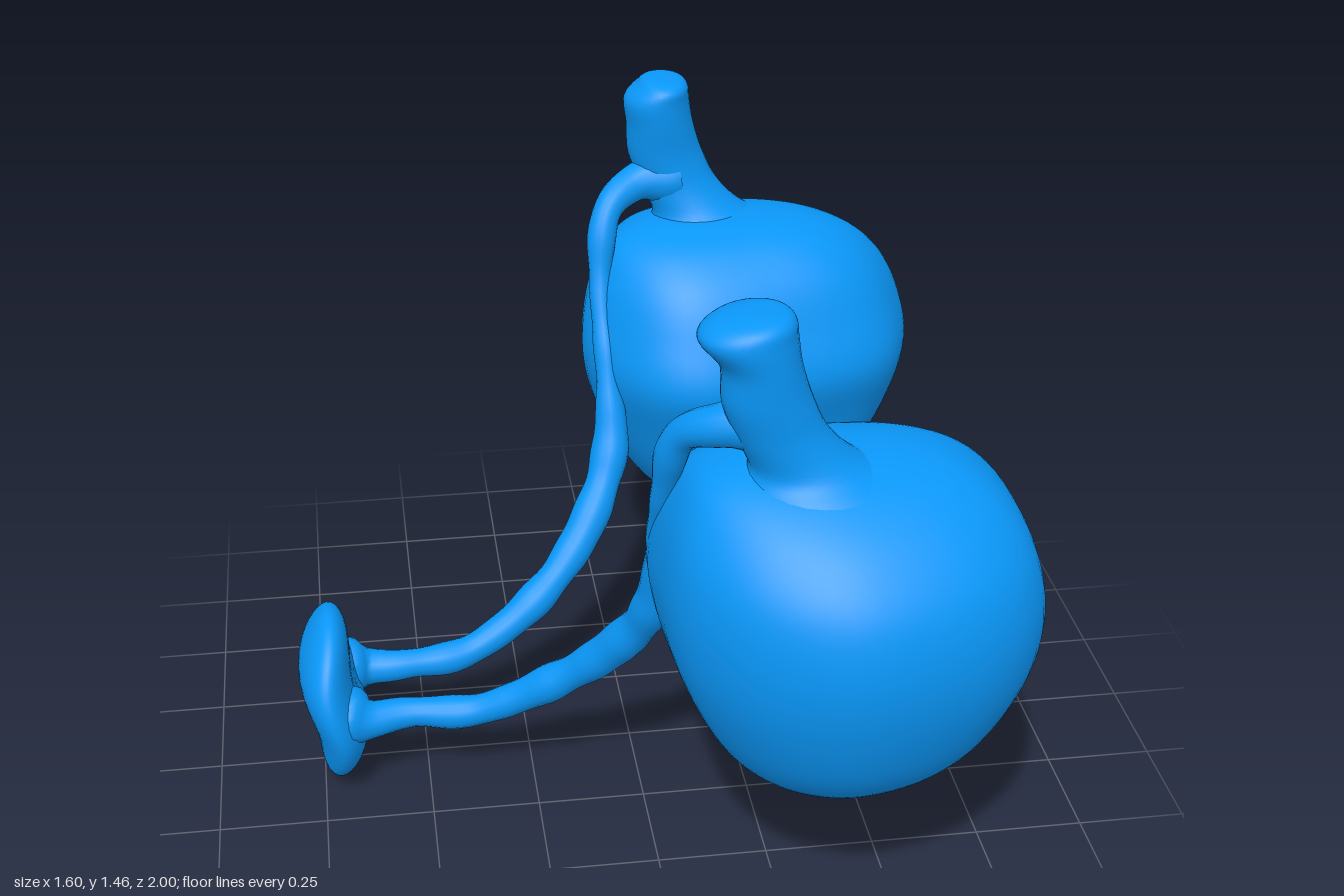
import * as THREE from 'three';

const material = new THREE.MeshStandardMaterial({ color: 0x0a97f8 });

function mesh(name, geometry) {
  const m = new THREE.Mesh(geometry, material);
  m.name = name;
  return m;
}

// Smooth skin over a grid of closed loops; flip reverses the winding
function skin(rows, cols, pointAt, flip) {
  const pos = [], idx = [];
  for (let i = 0; i <= rows; i++) {
    for (let j = 0; j < cols; j++) pos.push(...pointAt(i / rows, j / cols));
  }
  for (let i = 0; i < rows; i++) {
    for (let j = 0; j < cols; j++) {
      const k = (j + 1) % cols;
      const a = i * cols + j, b = i * cols + k, c = a + cols, d = b + cols;
      if (flip) idx.push(a, b, c, b, d, c);
      else idx.push(a, c, b, b, c, d);
    }
  }
  const g = new THREE.BufferGeometry();
  g.setAttribute('position', new THREE.Float32BufferAttribute(pos, 3));
  g.setIndex(idx);
  g.computeVertexNormals();
  return g;
}

const curve = (pts, closed = false) => new THREE.CatmullRomCurve3(
  pts.map((p) => new THREE.Vector3(...p)), closed, 'catmullrom', 0.5);

const circle = (a) => [Math.cos(a * Math.PI * 2), Math.sin(a * Math.PI * 2)];

// Stack of horizontal rings: stations are [y, xMin, xMax, zMin, zMax];
// the outline softens to an ellipse towards both ends
function stack(stations, outline, side, rows, cols) {
  const xs = curve(stations.map((s) => [s[0], s[1], s[2]]));
  const zs = curve(stations.map((s) => [s[3], s[4], 0]));
  return skin(rows, cols, (t, a) => {
    const p = xs.getPoint(t), q = zs.getPoint(t);
    const o = outline(a), c = circle(a), w = (2 * t - 1) ** 2;
    return [
      (p.y + p.z) / 2 + (p.z - p.y) / 2 * (o[0] + (c[0] - o[0]) * w),
      p.x,
      side * ((q.x + q.y) / 2 + (q.y - q.x) / 2 * (o[1] + (c[1] - o[1]) * w)),
    ];
  }, side < 0);
}

// Tube with a varying radius: points are [x, y, z, radius];
// drift pulls the free part of the cord towards the middle
function cord(points, side, drift) {
  const path = curve(points.map(([x, y, z]) => [
    x, y, side * (z - drift * THREE.MathUtils.clamp(-x / 0.15, 0, 1))]));
  const radii = curve(points.map((p) => [p[3], 0, 0]));
  const rows = 100;
  const frames = path.computeFrenetFrames(rows);
  return skin(rows, 16, (t, a) => {
    const i = Math.round(t * rows);
    const u = path.getUtoTmapping(t);
    const r = radii.getPoint(u).x * (1 + 0.05 * Math.sin(t * 47) + 0.04 * Math.sin(t * 83 + 1));
    const [c, s] = circle(a);
    return path.getPoint(u)
      .addScaledVector(frames.normals[i], r * c)
      .addScaledVector(frames.binormals[i], r * s).toArray();
  }, true);
}

// Plan outline [x, z] of a globe, normalised to -1..1
function planOutline(pts) {
  const c = curve(pts.map(([x, z]) => [(x - 0.38) / 0.42, (z - 0.625) / 0.375, 0]), true);
  return (a) => c.getPoint(a).toArray();
}

const globeStations = [
  [0.335, 0.37, 0.37, 0.6, 0.6], [0.345, 0.23, 0.52, 0.5, 0.72],
  [0.4, 0.14, 0.61, 0.42, 0.83], [0.5, 0.06, 0.7, 0.345, 0.92],
  [0.65, -0.01, 0.775, 0.295, 0.98], [0.79, -0.04, 0.8, 0.25, 1.0],
  [0.92, -0.03, 0.77, 0.295, 0.975], [1.02, 0.0, 0.71, 0.35, 0.9],
  [1.09, 0.05, 0.62, 0.43, 0.8], [1.125, 0.15, 0.5, 0.52, 0.7],
  [1.135, 0.33, 0.33, 0.61, 0.61],
];

const neckStations = (lip) => [
  [1.09, 0.13, 0.5, 0.5, 0.8], [1.13, 0.15, 0.39, 0.56, 0.76],
  [1.2, 0.12, 0.315, 0.59, 0.75], [1.28, 0.09, 0.275, 0.595, 0.755],
  [1.36, 0.085, 0.25, 0.585, 0.76], [1.42, lip, 0.24, 0.58, 0.765],
  [1.455, lip + 0.03, 0.235, 0.585, 0.755], [1.472, 0.13, 0.215, 0.62, 0.72],
  [1.474, 0.17, 0.17, 0.67, 0.67],
];

const cordPoints = [
  [0.2, 1.22, 0.66, 0.07], [0.1, 1.21, 0.64, 0.046], [0.022, 1.155, 0.58, 0.037],
  [0, 0.99, 0.52, 0.028], [0.005, 0.8, 0.43, 0.03], [0, 0.61, 0.36, 0.045],
  [-0.08, 0.45, 0.275, 0.045], [-0.21, 0.32, 0.2, 0.042], [-0.38, 0.22, 0.145, 0.038],
  [-0.54, 0.21, 0.12, 0.038], [-0.63, 0.205, 0.13, 0.046], [-0.67, 0.21, 0.125, 0.07],
  [-0.72, 0.22, 0.12, 0.06],
];

const sides = [
  {
    name: 'front', side: 1, lip: 0.04, drift: 0,
    plan: [[0.78, 0.6], [0.75, 0.8], [0.6, 0.94], [0.35, 1], [0.15, 0.93], [0.02, 0.78],
      [-0.02, 0.6], [0, 0.38], [0.22, 0.25], [0.42, 0.28], [0.62, 0.31], [0.75, 0.42]],
  },
  {
    name: 'back', side: -1, lip: 0.08, drift: 0.035,
    plan: [[0.8, 0.67], [0.7, 0.85], [0.55, 0.96], [0.35, 1], [0.18, 0.97], [0.05, 0.85],
      [-0.04, 0.57], [0.05, 0.36], [0.22, 0.26], [0.5, 0.31], [0.68, 0.38], [0.77, 0.5]],
  },
];

export function createModel() {
  const model = new THREE.Group();
  model.name = 'pairedGlobesOnCords';

  for (const { name, side, lip, drift, plan } of sides) {
    const half = new THREE.Group();
    half.name = `${name}Half`;
    // Rounded, slightly lopsided globe
    half.add(mesh(`${name}Globe`, stack(globeStations, planOutline(plan), side, 60, 72)));
    // Leaning neck, flared at the base, with a small lip at the top
    half.add(mesh(`${name}Neck`, stack(neckStations(lip), circle, side, 40, 32)));
    // Cord looping from the neck, down the globe and out to the disc
    half.add(mesh(`${name}Cord`, cord(cordPoints, side, drift)));
    model.add(half);
  }

  // Lens-shaped disc joining both cords, gently bent
  const disc = new THREE.SphereGeometry(1, 48, 32);
  const p = disc.attributes.position;
  for (let i = 0; i < p.count; i++) {
    const x = p.getX(i), y = p.getY(i), z = p.getZ(i);
    const hollow = x > 0 ? 0.015 * Math.exp(-6 * (y * y + z * z)) : 0;
    p.setXYZ(i,
      -0.715 + 0.07 * x - hollow - 0.02 * Math.sin(y * 3) * (1 - y * y),
      0.225 + 0.215 * y,
      0.02 + 0.195 * z);
  }
  disc.computeVertexNormals();
  model.add(mesh('disc', disc));
  return model;
}
